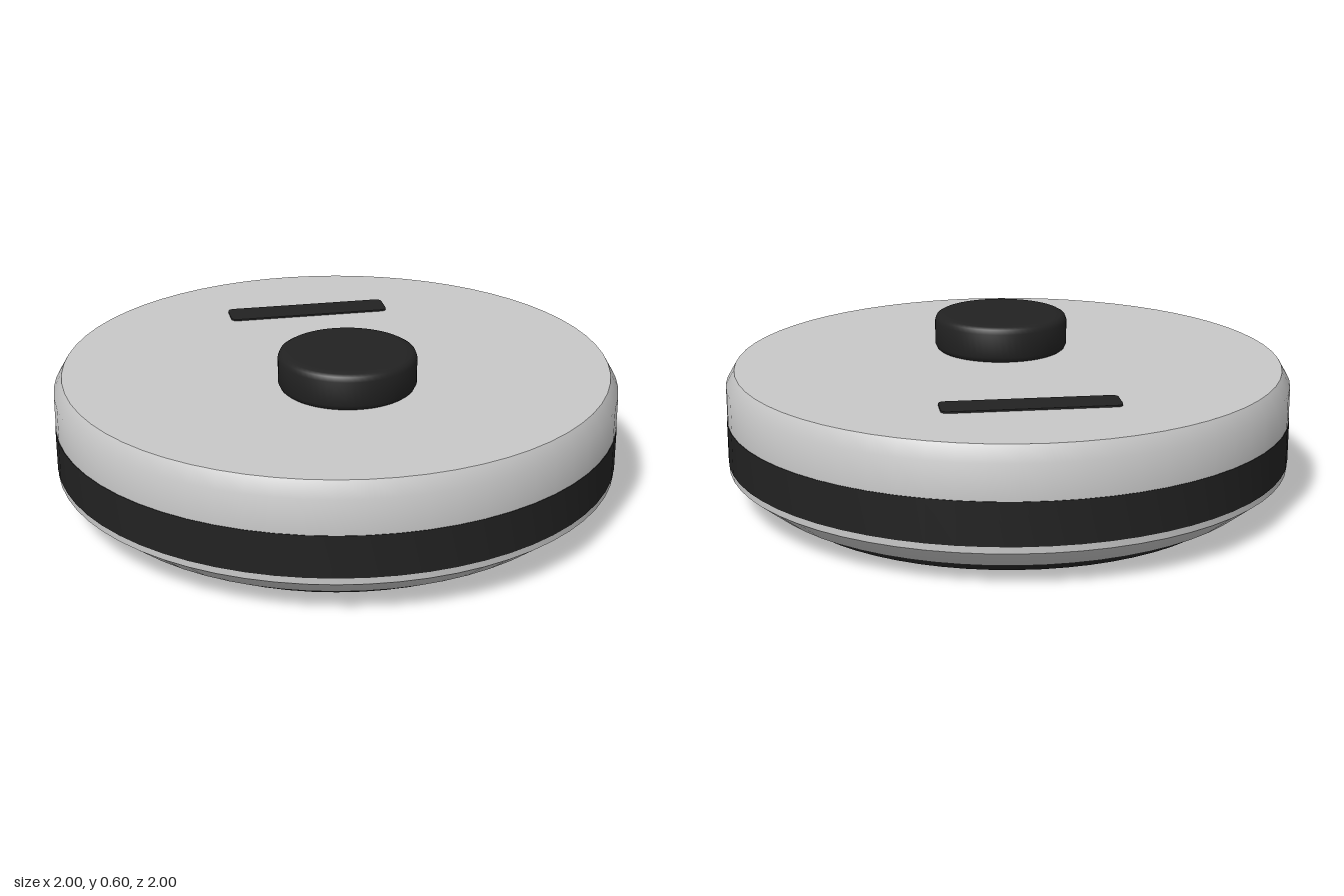
import * as THREE from 'three';
import { toCreasedNormals } from 'three/addons/utils/BufferGeometryUtils.js';

export function createModel() {
  const model = new THREE.Group();
  const shell = new THREE.MeshStandardMaterial({ color: 0xc8c8c8 });
  shell.name = 'light grey shell';
  const dark = new THREE.MeshStandardMaterial({ color: 0x222222 });
  dark.name = 'black rubber';

  function add(name, geometry, material) {
    const mesh = new THREE.Mesh(geometry, material);
    mesh.name = name;
    model.add(mesh);
    return mesh;
  }

  // Turned part from [radius, height] pairs, listed bottom to top
  function turned(name, profile, material, crease = 0.7) {
    const points = profile.map(([r, y]) => new THREE.Vector2(r, y));
    return add(name, toCreasedNormals(new THREE.LatheGeometry(points, 64), crease), material);
  }

  // Round body, split where its colour changes
  turned('base', [[0, 0], [0.82, 0], [0.852, 0.047], [0, 0.047]], dark);
  turned('lowerShell', [[0, 0.047], [0.9, 0.047], [0.998, 0.125], [0.998, 0.15]], shell);
  turned('bumperBand', [[0.99, 0.148], [1, 0.148], [1, 0.296], [0.99, 0.296]], dark);
  turned('upperShell', [[0.998, 0.295], [0.998, 0.42], [0.968, 0.472], [0, 0.472]], shell);

  // Raised round turret with softened rims
  const turret = turned('turret', [
    [0.225, 0.47], [0.234, 0.477], [0.24, 0.49], [0.24, 0.575],
    [0.234, 0.591], [0.222, 0.598], [0.2, 0.6], [0, 0.6],
  ], dark);
  turret.position.z = 0.2;

  // Thin rounded button strip near the back
  const w = 0.3, h = 0.06, r = 0.025;
  const outline = new THREE.Shape();
  outline.moveTo(-w + r, -h);
  outline.lineTo(w - r, -h).quadraticCurveTo(w, -h, w, -h + r);
  outline.lineTo(w, h - r).quadraticCurveTo(w, h, w - r, h);
  outline.lineTo(-w + r, h).quadraticCurveTo(-w, h, -w, h - r);
  outline.lineTo(-w, -h + r).quadraticCurveTo(-w, -h, -w + r, -h);
  const strip = new THREE.ExtrudeGeometry(outline, { depth: 0.008, bevelEnabled: false, curveSegments: 5 });
  strip.rotateX(-Math.PI / 2);
  add('buttonStrip', strip, dark).position.set(0, 0.47, -0.56);

  return model;
}
